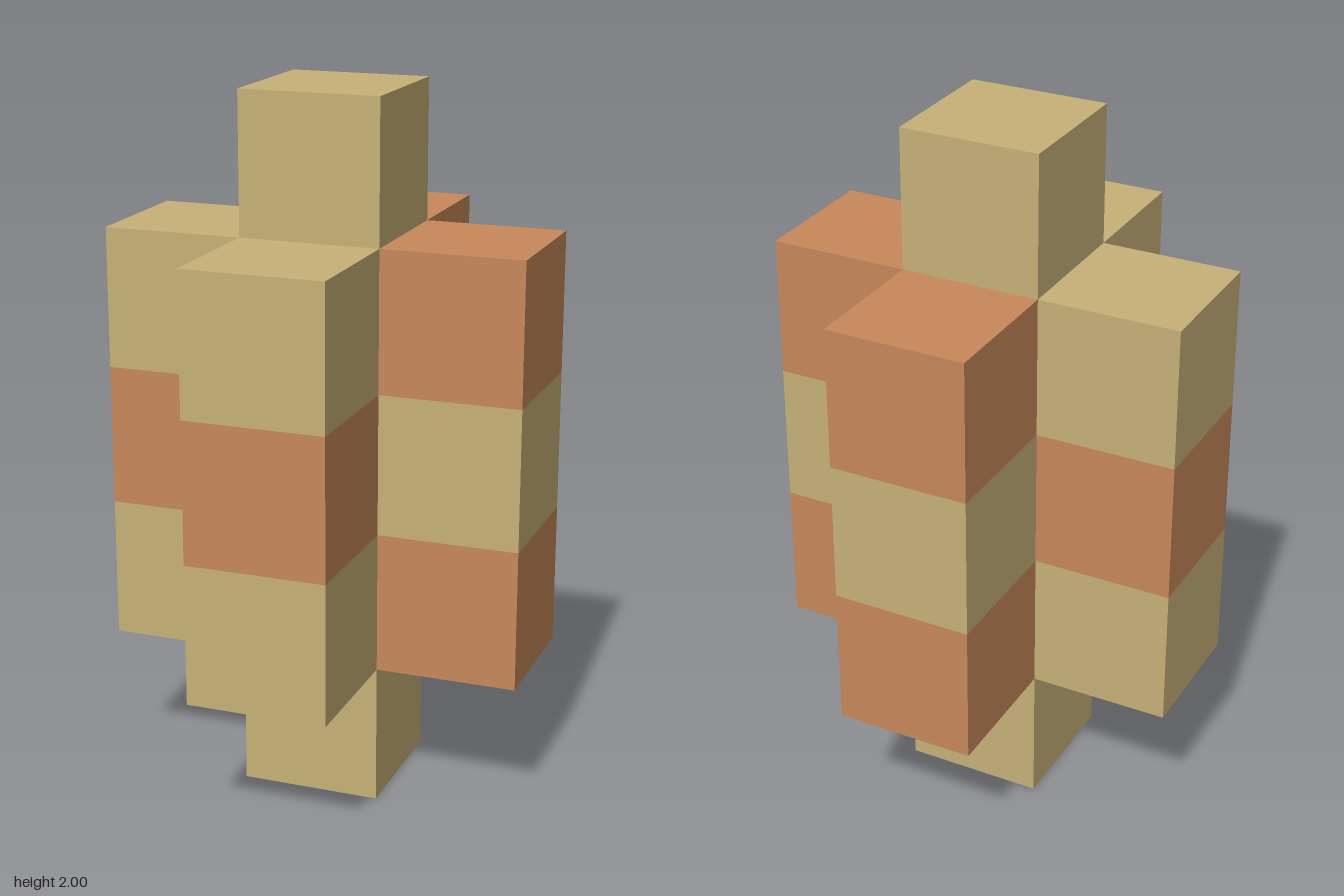
import * as THREE from 'three';

const UNIT = 0.4; // edge of one cube

export function createModel() {
  const model = new THREE.Group();
  model.name = 'blockCross';

  const sand = new THREE.MeshStandardMaterial({ color: 0xc8b278 });
  sand.name = 'sand';
  const terracotta = new THREE.MeshStandardMaterial({ color: 0xc8895b });
  terracotta.name = 'terracotta';

  // Central column, five cubes tall
  const core = new THREE.Mesh(new THREE.BoxGeometry(UNIT, UNIT * 5, UNIT), sand);
  core.name = 'centralColumn';
  core.position.y = UNIT * 2.5;
  model.add(core);

  // Four side columns of three cubes in alternating colours
  const cube = new THREE.BoxGeometry(UNIT, UNIT, UNIT);
  const addColumn = (name, x, z, outer, middle) => {
    const column = new THREE.Group();
    column.name = name;
    column.position.set(x * UNIT, 0, z * UNIT);
    ['lower', 'middle', 'upper'].forEach((level, i) => {
      const block = new THREE.Mesh(cube, i === 1 ? middle : outer);
      block.name = level + 'Block';
      block.position.y = UNIT * (i + 1.5);
      column.add(block);
    });
    model.add(column);
  };

  addColumn('frontColumn', 0, 1, sand, terracotta);
  addColumn('rightColumn', -1, 0, sand, terracotta);
  addColumn('leftColumn', 1, 0, terracotta, sand);
  addColumn('backColumn', 0, -1, terracotta, sand);

  return model;
}
